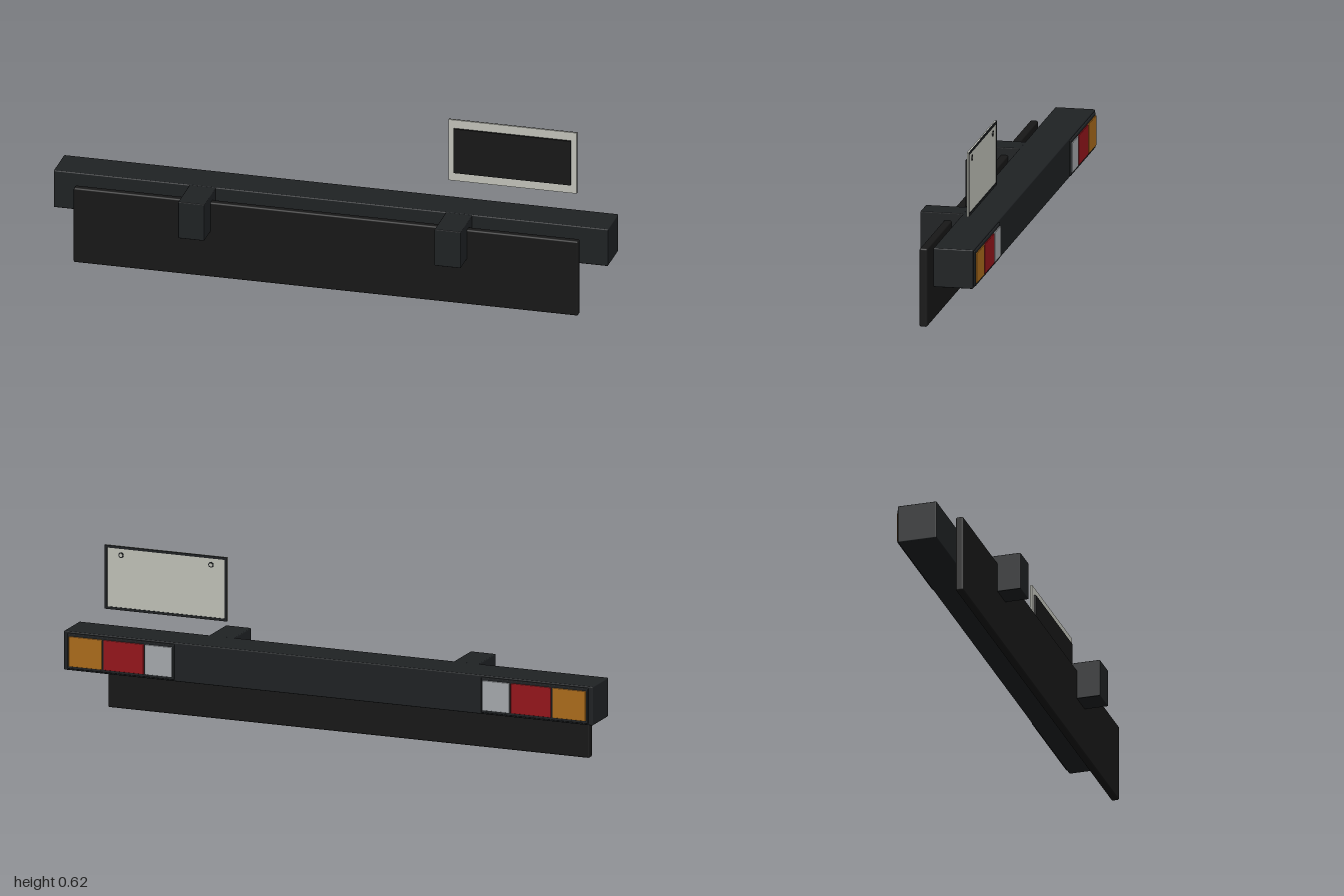
import * as THREE from 'three';
import { RoundedBoxGeometry } from 'three/addons/geometries/RoundedBoxGeometry.js';

const paint = (color) => new THREE.MeshStandardMaterial({ color });

// Box given by its extents on each axis, with an optional edge radius
function block(name, [x0, x1], [y0, y1], [z0, z1], material, radius = 0) {
  const size = [x1 - x0, y1 - y0, z1 - z0];
  const geometry = radius
    ? new RoundedBoxGeometry(...size, 2, radius)
    : new THREE.BoxGeometry(...size);
  const mesh = new THREE.Mesh(geometry, material);
  mesh.name = name;
  mesh.position.set((x0 + x1) / 2, (y0 + y1) / 2, (z0 + z1) / 2);
  return mesh;
}

export function createModel() {
  const model = new THREE.Group();
  model.name = 'rearBumper';

  const black = paint(0x1f2224);
  const rubber = paint(0x181818);
  const amber = paint(0xb06f1c);
  const red = paint(0x98161c);
  const clear = paint(0xa9adb1);
  const plateGrey = paint(0xc4c5bc);

  // Main beam and the flap hanging in front of it
  model.add(block('beam', [-1, 1], [0.17, 0.31], [-0.142, 0], black, 0.004));
  model.add(block('flap', [-0.91, 0.91], [0, 0.282], [0.041, 0.069], rubber, 0.006));

  for (const side of [-1, 1]) {
    const span = (a, b) => (side > 0 ? [a, b] : [-b, -a]);
    const label = side > 0 ? 'left' : 'right';

    // Mounting bracket
    model.add(block(label + 'Bracket', span(0.415, 0.51), [0.171, 0.309], [-0.01, 0.153], black, 0.003));

    // Lamp cluster: housing and three lenses, amber outermost
    const lamp = new THREE.Group();
    lamp.name = label + 'Lamp';
    lamp.add(block('lampHousing', span(0.58, 0.984), [0.176, 0.304], [-0.148, -0.138], black, 0.003));
    const lenses = [
      ['clearLens', 0.587, 0.688, clear],
      ['redLens', 0.694, 0.846, red],
      ['amberLens', 0.852, 0.977, amber],
    ];
    for (const [name, a, b, material] of lenses) {
      lamp.add(block(name, span(a, b), [0.186, 0.294], [-0.152, -0.145], material, 0.002));
    }
    model.add(lamp);
  }

  // Blank registration plate with its backing, dark rim and bolts
  const plate = new THREE.Group();
  plate.name = 'plate';
  const [x0, x1, y0, y1] = [0.401, 0.863, 0.393, 0.623];
  plate.add(block('plateSheet', [x0, x1], [y0, y1], [-0.0955, -0.09], plateGrey));
  plate.add(block('plateBacking', [0.42, 0.843], [0.425, 0.592], [-0.09, -0.082], rubber));

  const w = 0.009;
  const depth = [-0.098, -0.094];
  plate.add(block('rimTop', [x0, x1], [y1 - w, y1], depth, black));
  plate.add(block('rimBottom', [x0, x1], [y0, y0 + w], depth, black));
  plate.add(block('rimLeft', [x1 - w, x1], [y0 + w, y1 - w], depth, black));
  plate.add(block('rimRight', [x0, x0 + w], [y0 + w, y1 - w], depth, black));

  for (const x of [0.462, 0.802]) {
    for (const [name, radius, z, material] of [
      ['boltWasher', 0.01, -0.0955, black],
      ['boltHead', 0.006, -0.0965, plateGrey],
    ]) {
      const bolt = new THREE.Mesh(new THREE.CylinderGeometry(radius, radius, 0.004, 20), material);
      bolt.name = name;
      bolt.rotation.x = Math.PI / 2;
      bolt.position.set(x, 0.591, z);
      plate.add(bolt);
    }
  }
  model.add(plate);

  return model;
}
